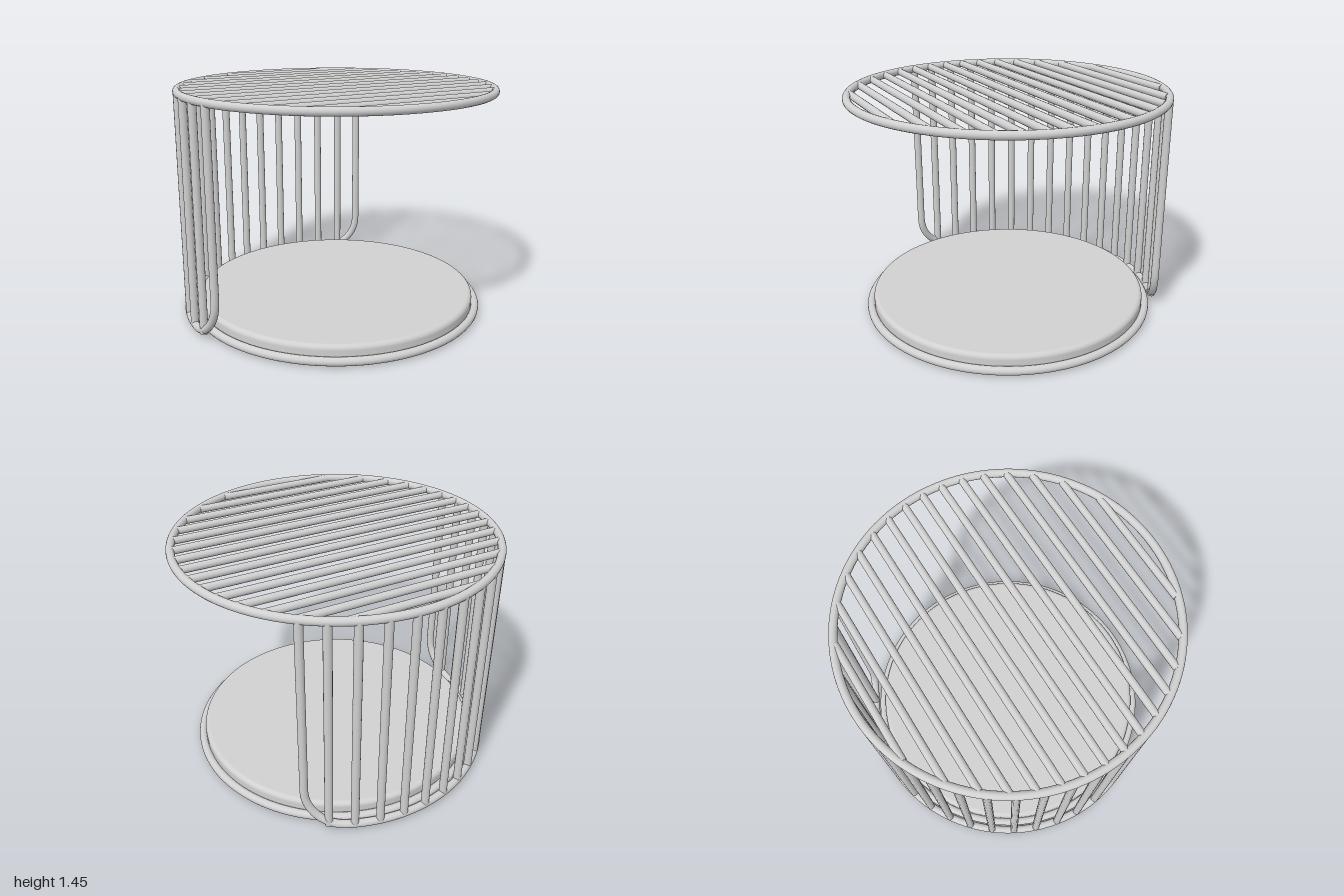
import * as THREE from 'three';

const TUBE = 0.025;      // radius of the bent tubing
const RING_R = 0.975;    // centreline radius of top ring and cage
const TOP_Y = 1.43;
const FOOT_Y = 0.026;
const rad = THREE.MathUtils.degToRad;

// Point on the cage circle, angle measured from the back (-z) toward +x
const onCage = (a, y) => new THREE.Vector3(RING_R * Math.sin(a), y, -RING_R * Math.cos(a));

export function createModel() {
  const model = new THREE.Group();
  model.name = 'sideTable';
  const metal = new THREE.MeshStandardMaterial({ color: 0xd0d0d0 });
  metal.name = 'light grey metal';

  const add = (name, geometry, parent = model) => {
    const mesh = new THREE.Mesh(geometry, metal);
    mesh.name = name;
    parent.add(mesh);
    return mesh;
  };
  const ring = (name, radius, tube, y) => {
    const mesh = add(name, new THREE.TorusGeometry(radius, tube, 16, 128));
    mesh.rotation.x = Math.PI / 2;
    mesh.position.y = y;
  };

  // Table top: ring filled with parallel slats
  ring('topRing', RING_R, TUBE, TOP_Y);
  const slats = new THREE.Group();
  slats.name = 'topSlats';
  model.add(slats);
  for (let i = -7; i <= 7; i++) {
    const z = i * 0.1265;
    const length = 2 * Math.sqrt(0.965 ** 2 - z * z);
    const slat = add('topSlat', new THREE.CylinderGeometry(0.023, 0.023, length, 16), slats);
    slat.rotation.z = Math.PI / 2;
    slat.position.set(0, TOP_Y, z);
  }

  // Base: round-edged plate with a ring around its foot
  ring('baseRing', 0.92, 0.026, 0.03);
  const R = 0.9, low = 0.015, high = 0.115, f = 0.03;
  const profile = [new THREE.Vector2(0, low)];
  for (let i = 0; i <= 6; i++) {
    const a = -Math.PI / 2 + i * Math.PI / 12;
    profile.push(new THREE.Vector2(R - f + f * Math.cos(a), low + f + f * Math.sin(a)));
  }
  for (let i = 0; i <= 6; i++) {
    const a = i * Math.PI / 12;
    profile.push(new THREE.Vector2(R - f + f * Math.cos(a), high - f + f * Math.sin(a)));
  }
  profile.push(new THREE.Vector2(0, high));
  add('basePlate', new THREE.LatheGeometry(profile, 128));

  // Cage frame: one tube down, round the foot and back up
  const middle = rad(-33.3), half = rad(71.6), bend = 0.25;
  const side = [onCage(half, TOP_Y), onCage(half, 1.1), onCage(half, 0.7), onCage(half, 0.4)];
  for (let i = 0; i <= 8; i++) {
    const t = i * Math.PI / 16;
    side.push(onCage(half - bend * (1 - Math.cos(t)) / RING_R, FOOT_Y + bend * (1 - Math.sin(t))));
  }
  const path = [...side];
  const footHalf = half - bend / RING_R;
  for (let i = 1; i < 24; i++) path.push(onCage(footHalf * (1 - i / 12), FOOT_Y));
  for (const p of [...side].reverse()) path.push(new THREE.Vector3(-p.x, p.y, p.z));
  const frame = add('cageFrame', new THREE.TubeGeometry(new THREE.CatmullRomCurve3(path), 240, TUBE, 16));
  frame.rotation.y = -middle;

  // Upright rods between the frame ends
  const rods = new THREE.Group();
  rods.name = 'cageRods';
  model.add(rods);
  for (let i = -7; i <= 7; i++) {
    const rod = add('cageRod', new THREE.CylinderGeometry(TUBE, TUBE, TOP_Y - FOOT_Y, 16), rods);
    rod.position.copy(onCage(middle + rad(9.02 * i), (TOP_Y + FOOT_Y) / 2));
  }
  return model;
}
